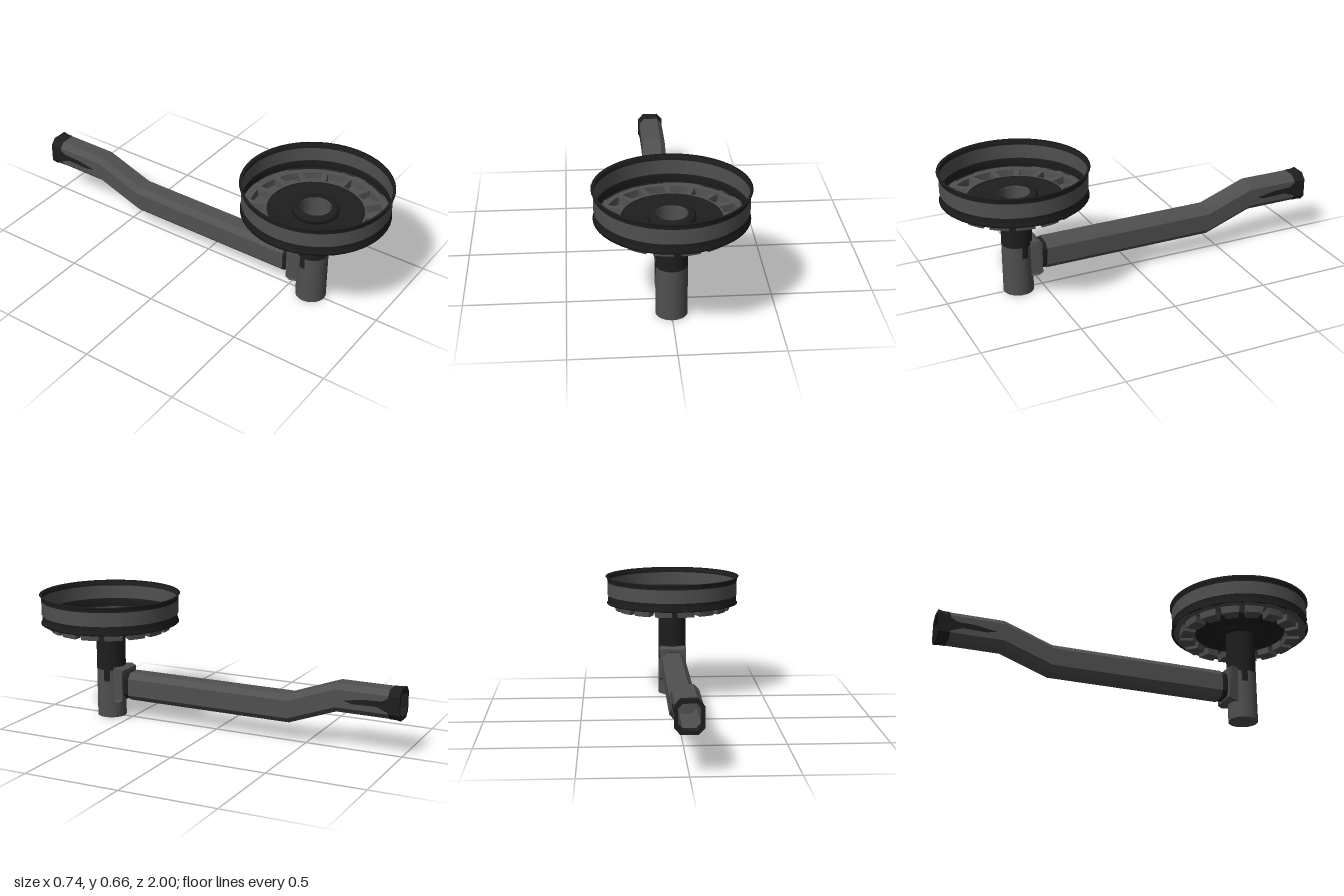
import * as THREE from 'three';

export function createModel() {
  const model = new THREE.Group();
  const material = (name, color, side = THREE.DoubleSide) => {
    const m = new THREE.MeshStandardMaterial({ color, side });
    m.name = name;
    return m;
  };
  const grey = material('grey plastic', 0x505050);
  const black = material('black rubber', 0x1e1e1e);
  const AXIS_Z = 0.627; // centre of the basket and the post

  const add = (name, geometry, mat, parent = model) => {
    const mesh = new THREE.Mesh(geometry, mat);
    mesh.name = name;
    parent.add(mesh);
    return mesh;
  };
  const lathe = (pts) => new THREE.LatheGeometry(pts.map(([r, y]) => new THREE.Vector2(r, y)), 48);
  const flat = (pos) => {
    const g = new THREE.BufferGeometry();
    g.setAttribute('position', new THREE.Float32BufferAttribute(pos, 3));
    g.computeVertexNormals();
    return g;
  };
  const quad = (pos, a, b, c, d) => pos.push(...a, ...b, ...c, ...a, ...c, ...d);

  // Everything that turns around the vertical axis
  const basket = new THREE.Group();
  basket.name = 'basket';
  basket.position.z = AXIS_Z;
  model.add(basket);

  // Rim wall in bands
  add('rimBottom', lathe([[0.35, 0.513], [0.364, 0.513], [0.357, 0.519], [0.355, 0.558], [0.36, 0.56]]), black, basket);
  add('rimBand', lathe([[0.36, 0.56], [0.36, 0.632]]), grey, basket);
  add('rimTop', lathe([[0.36, 0.632], [0.36, 0.654], [0.37, 0.662], [0.356, 0.66]]), black, basket);

  // Floor ring with sixteen sunken trays
  const CELLS = 16, R_IN = 0.245, R_OUT = 0.32, FLOOR = 0.513;
  const outline = (i, inset = 0) => {
    const mid = ((i + 0.5) / CELLS) * Math.PI * 2;
    const pts = [];
    for (const [r, dir] of [[R_OUT - inset, 1], [R_IN + inset, -1]]) {
      const half = Math.PI / CELLS - (0.014 + inset) / r;
      for (let s = 0; s <= 4; s++) {
        const a = mid + dir * half * (s / 2 - 1);
        pts.push(new THREE.Vector2(Math.cos(a) * r, Math.sin(a) * r));
      }
    }
    return pts;
  };
  const ring = new THREE.Shape().absarc(0, 0, 0.36, 0, Math.PI * 2);
  ring.holes.push(new THREE.Path().absarc(0, 0, 0.236, 0, Math.PI * 2, true));
  const trays = new THREE.Group();
  trays.name = 'trays';
  basket.add(trays);
  for (let i = 0; i < CELLS; i++) {
    const top = outline(i), low = outline(i, 0.003), n = top.length, pos = [];
    ring.holes.push(new THREE.Path(top));
    const at = (p, y) => [p.x, y, -p.y];
    for (let k = 0; k < n; k++) {
      const j = (k + 1) % n;
      quad(pos, at(low[k], 0.477), at(low[j], 0.477), at(top[j], FLOOR), at(top[k], FLOOR));
    }
    for (let k = 0; k < 4; k++) { // tray bottom
      quad(pos, at(low[k], 0.477), at(low[9 - k], 0.477), at(low[8 - k], 0.477), at(low[k + 1], 0.477));
    }
    add('tray', flat(pos), grey, trays);
  }
  const floor = add('floorRing', new THREE.ShapeGeometry(ring, 24), grey, basket);
  floor.rotation.x = -Math.PI / 2;
  floor.position.y = FLOOR;
  add('floorDisc', lathe([[0.238, FLOOR], [0.236, 0.505], [0.1, 0.505]]), black, basket);
  add('hub', lathe([[0.077, 0.485], [0.1, 0.485], [0.1, 0.505], [0.113, 0.506], [0.112, 0.525], [0.1, 0.531], [0.076, 0.531]]), black, basket);

  // Upright pipe: grey foot, black upper half, open bore
  add('postFoot', lathe([[0.0765, 0], [0.0765, 0.26]]), grey, basket);
  add('postUpper', lathe([[0.0765, 0.26], [0.0765, 0.5]]), black, basket);
  add('postBore', lathe([[0.0765, 0.531], [0.073, 0.525], [0.073, 0.02], [0, 0.02]]), grey, basket);
  add('postBase', lathe([[0, 0], [0.0765, 0]]), grey, basket);
  for (const s of [1, -1]) {
    // Black streak running down each side of the foot
    const streak = new THREE.CylinderGeometry(0.0775, 0.0775, 0.062, 4, 1, true, s * Math.PI / 2 + (s > 0 ? 0 : -0.42), 0.42);
    add('postStreak', streak, black, basket).position.y = 0.23;
  }

  // Bracket joining the pipe to the arm
  const side = new THREE.Shape([
    [-0.06, 0.09], [0.085, 0.09], [0.107, 0.102], [0.107, 0.264], [0.085, 0.275], [-0.02, 0.275], [-0.06, 0.24],
  ].map(([x, y]) => new THREE.Vector2(x * 1, y)));
  const bracket = new THREE.ExtrudeGeometry(side, { depth: 0.146, bevelEnabled: false });
  bracket.translate(0, 0, -0.073).rotateY(Math.PI / 2); // profile x becomes -z
  // Keep the front of the block inside the pipe
  const bp = bracket.attributes.position;
  for (let i = 0; i < bp.count; i++) if (bp.getZ(i) > 0) bp.setXYZ(i, bp.getX(i) * 0.55, bp.getY(i), 0.01);
  bracket.computeVertexNormals();
  add('bracket', bracket, grey, basket);

  // Octagonal sections: [z, centre y, scale]
  const OCT = [[0.063, -0.045], [0.063, 0.045], [0.037, 0.073], [-0.037, 0.073],
    [-0.063, 0.045], [-0.063, -0.045], [-0.037, -0.073], [0.037, -0.073]];
  const loft = (rings) => {
    const pos = [];
    const at = ([z, y, s], [px, py]) => [px * s, y + py * s, z];
    for (let r = 0; r + 1 < rings.length; r++) {
      for (let i = 0; i < 8; i++) {
        const p = OCT[i], q = OCT[(i + 1) % 8];
        quad(pos, at(rings[r], p), at(rings[r + 1], p), at(rings[r + 1], q), at(rings[r], q));
      }
    }
    return flat(pos);
  };
  const LOW = 0.178, HIGH = 0.269;
  add('armCollar', loft([[0.54, LOW, 0.94], [0.485, LOW, 0.94]]), black);
  add('arm', loft([[0.49, LOW, 0.01], [0.49, LOW, 1], [-0.42, LOW, 1], [-0.67, HIGH, 1], [-0.95, HIGH, 1]]), grey);
  add('armMouth', loft([[-0.94, HIGH, 1], [-0.945, HIGH, 1.02], [-0.975, HIGH, 1.02], [-1, HIGH, 1.08], [-1, HIGH, 0.84], [-0.96, HIGH, 0.8]]), black);
  add('armBore', loft([[-0.96, HIGH, 0.8], [-0.7, HIGH, 0.8], [-0.7, HIGH, 0.01]]), grey);

  // Black tapering marks on both sides near the mouth
  const mark = new THREE.Shape([
    [0.71, 0.264], [0.76, 0.252], [0.88, 0.255], [0.95, 0.228], [0.95, 0.31], [0.91, 0.285], [0.82, 0.282],
  ].map(([x, y]) => new THREE.Vector2(x, y)));
  for (const s of [1, -1]) {
    const m = add('armMark', new THREE.ShapeGeometry(mark), black);
    m.rotation.y = Math.PI / 2;
    m.position.x = s * 0.0642;
  }
  return model;
}
